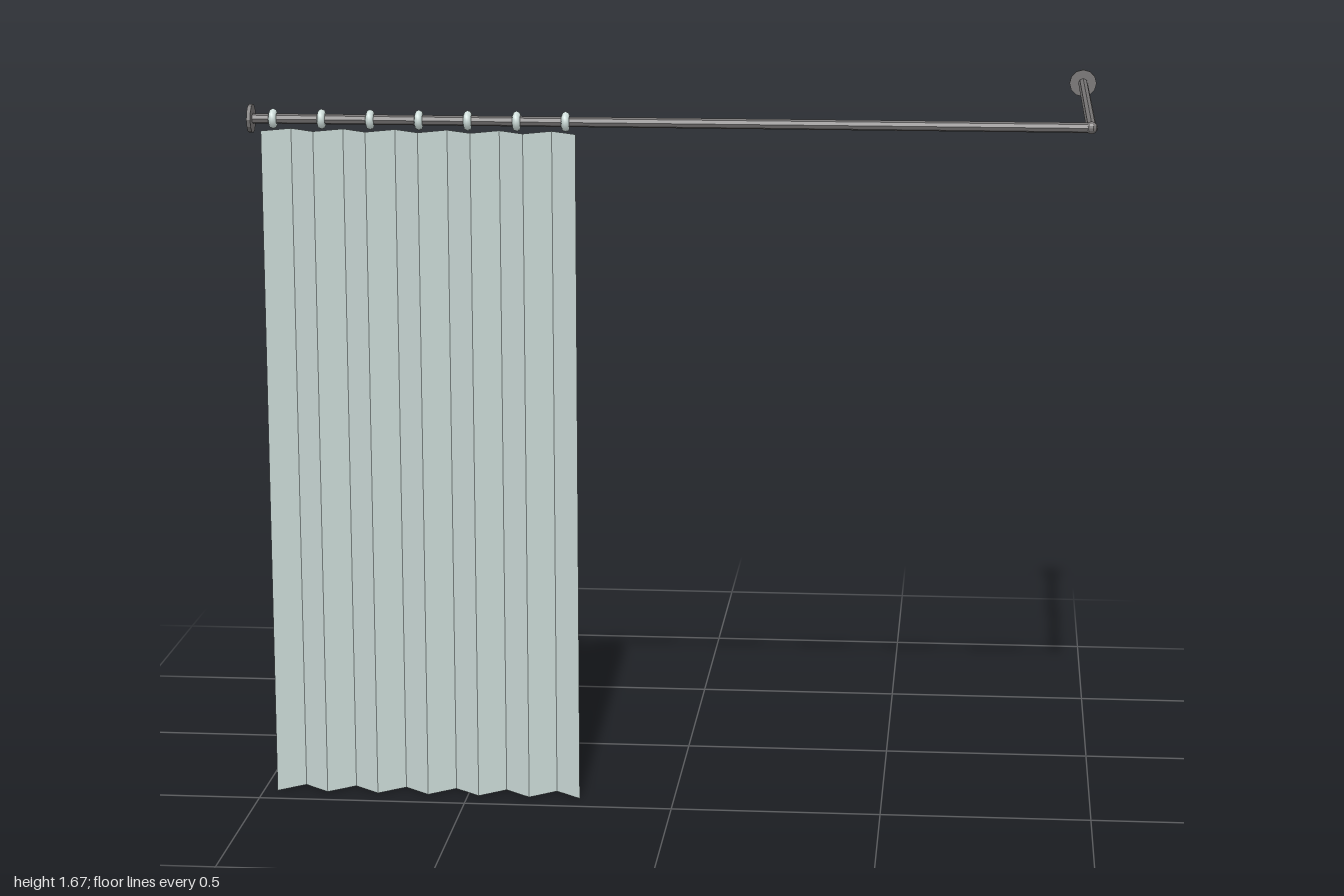
import * as THREE from 'three';

const metal = new THREE.MeshStandardMaterial({ color: 0x767474, flatShading: true });
metal.name = 'dark metal';
const fabric = new THREE.MeshStandardMaterial({ color: 0xcfdedb, side: THREE.DoubleSide });
fabric.name = 'pale grey green';

const RAIL_Y = 1.64, RAIL_Z = 0.41, CORNER_X = 0.964, BACK_Z = -0.442;

// Cylinder running from point a to point b
function rod(name, a, b, radius, sides) {
  const dir = b.clone().sub(a);
  const geo = new THREE.CylinderGeometry(radius, radius, dir.length(), sides);
  const mesh = new THREE.Mesh(geo, metal);
  mesh.name = name;
  mesh.position.copy(a).add(b).multiplyScalar(0.5);
  mesh.quaternion.setFromUnitVectors(new THREE.Vector3(0, 1, 0), dir.normalize());
  return mesh;
}

// Pleated sheet: one flat panel per fold, each with its own normals
function pleatedSheet(x0, x1, zFront, zBack, height, folds) {
  const pos = [];
  const step = (x1 - x0) / folds;
  for (let i = 0; i < folds; i++) {
    const xa = x0 + i * step, xb = xa + step;
    const za = i % 2 ? zBack : zFront, zb = i % 2 ? zFront : zBack;
    pos.push(xa, 0, za, xb, 0, zb, xb, height, zb);
    pos.push(xa, 0, za, xb, height, zb, xa, height, za);
  }
  const geo = new THREE.BufferGeometry();
  geo.setAttribute('position', new THREE.Float32BufferAttribute(pos, 3));
  geo.computeVertexNormals();
  return geo;
}

export function createModel() {
  const model = new THREE.Group();
  model.name = 'cornerCurtainRail';
  const v = (x, z) => new THREE.Vector3(x, RAIL_Y, z);

  // L-shaped rail with its corner joint
  model.add(rod('longRail', v(-1, RAIL_Z), v(CORNER_X, RAIL_Z), 0.012, 8));
  model.add(rod('shortRail', v(CORNER_X, RAIL_Z), v(CORNER_X, BACK_Z), 0.012, 8));
  const joint = new THREE.Mesh(new THREE.SphereGeometry(0.0145, 10, 8), metal);
  joint.name = 'cornerJoint';
  joint.position.copy(v(CORNER_X, RAIL_Z));
  model.add(joint);

  // Wall flanges
  model.add(rod('sideFlange', v(-1, RAIL_Z), v(-0.991, RAIL_Z), 0.034, 12));
  model.add(rod('backFlange', v(CORNER_X, BACK_Z), v(CORNER_X, BACK_Z + 0.009), 0.034, 12));

  // Curtain rings around the long rail
  const ringGeo = new THREE.TorusGeometry(0.0145, 0.0095, 8, 12);
  for (let i = 0; i < 7; i++) {
    const ring = new THREE.Mesh(ringGeo, fabric);
    ring.name = 'curtainRing' + (i + 1);
    ring.position.copy(v(-0.943 + i * 0.115, RAIL_Z));
    ring.rotation.y = Math.PI / 2;
    model.add(ring);
  }

  // Curtain
  const curtain = new THREE.Mesh(pleatedSheet(-0.967, -0.227, 0.441, 0.39, 1.615, 12), fabric);
  curtain.name = 'curtain';
  model.add(curtain);
  return model;
}
